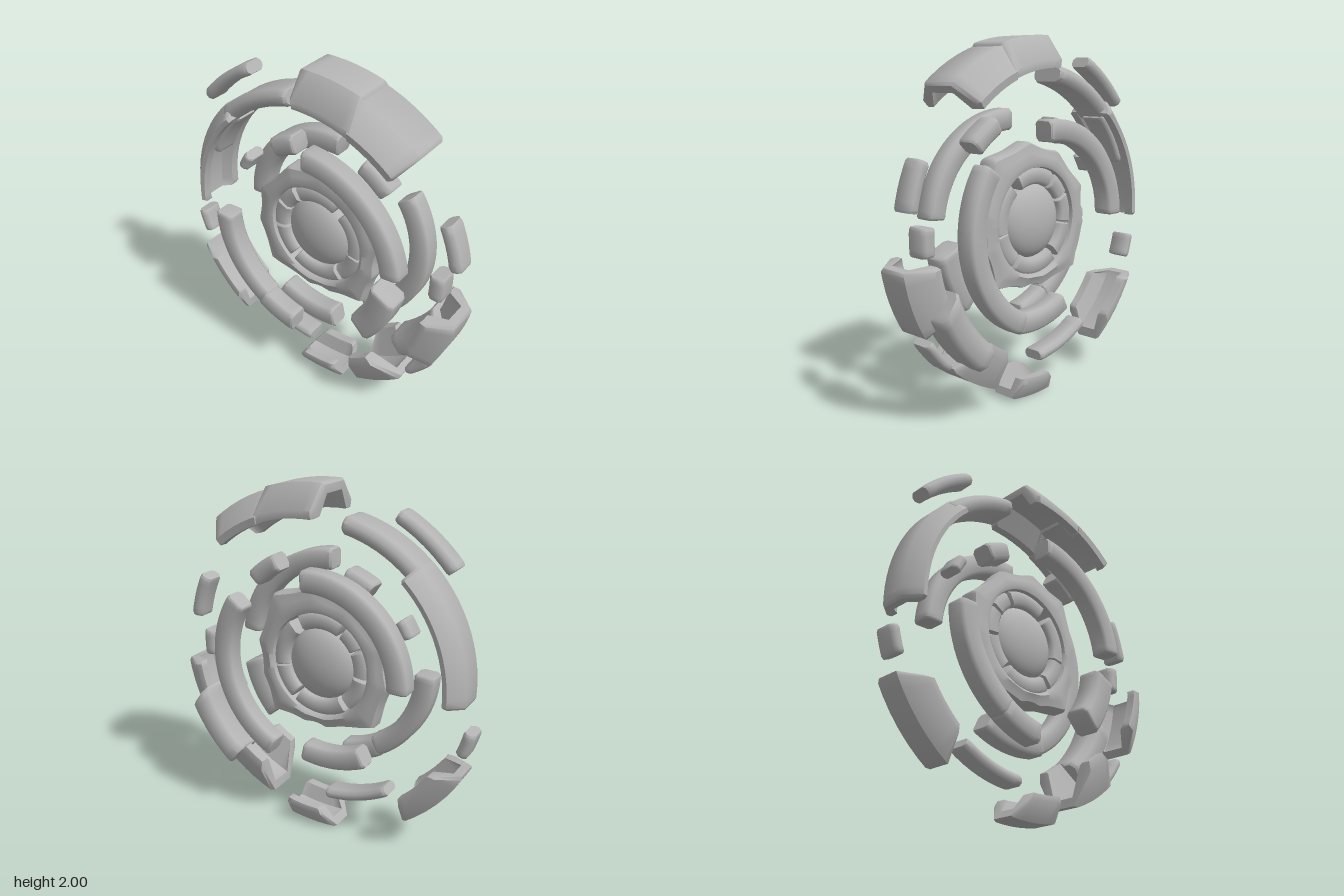
import * as THREE from 'three';
import { toCreasedNormals } from 'three/addons/utils/BufferGeometryUtils.js';

const RAD = Math.PI / 180;
const stone = new THREE.MeshStandardMaterial({ color: 0xb4b4b4 });
stone.name = 'grey stone';

// Sweep a closed [radius, z] section around the z axis from a0 to a1 degrees.
// cut0 / cut1 slant the ends: degrees added at the outer radius, removed at the inner one.
// drift widens the radius steadily along the sweep.
function sweep(sectionAt, a0, a1, { cut0 = 0, cut1 = 0, drift = 0, closed = false, step = 4, crease = 0.85 } = {}) {
  const n = Math.max(4, Math.ceil((a1 - a0) / step));
  const stations = [];
  for (let i = 0; i <= n; i++) stations.push([i / n, 1]);
  if (!closed) {
    // worn, slightly narrowed ends
    const b = Math.min(0.08, 1 / (a1 - a0));
    stations[0][0] = b;
    stations[n][0] = 1 - b;
    stations.unshift([0, 0.89]);
    stations.push([1, 0.89]);
  }
  const pos = [], idx = [];
  const first = sectionAt(a0), m = first.length;
  for (const [t, scale] of stations) {
    const base = a0 + (a1 - a0) * t;
    const s = sectionAt(base);
    const rs = s.map(p => p[0]);
    const lo = Math.min(...rs), hi = Math.max(...rs);
    const cr = (lo + hi) / 2, cz = s.reduce((k, p) => k + p[1], 0) / m;
    for (const [r, z] of s) {
      const w = (r - cr) / (hi - lo) * 2;
      const a = (base + w * (cut0 * (1 - t) + cut1 * t)) * RAD;
      const q = cr + (r - cr) * scale + drift * t;
      pos.push(q * Math.cos(a), q * Math.sin(a), cz + (z - cz) * scale);
    }
  }
  const last = stations.length - 1;
  for (let i = 0; i < last; i++) {
    for (let j = 0; j < m; j++) {
      const k = (j + 1) % m;
      const a = i * m + j, b = i * m + k, c = b + m, d = a + m;
      idx.push(a, d, c, a, c, b);
    }
  }
  if (!closed) {
    const tris = THREE.ShapeUtils.triangulateShape(first.map(p => new THREE.Vector2(...p)), []);
    for (const [a, b, c] of tris) idx.push(a, b, c, last * m + a, last * m + c, last * m + b);
  }
  const g = new THREE.BufferGeometry();
  g.setAttribute('position', new THREE.Float32BufferAttribute(pos, 3));
  g.setIndex(idx);
  return toCreasedNormals(g, crease);
}

// Mirror half a section (outer edge to inner edge, z > 0) about depth zc
const mirrored = (half, zc = 0) => [
  ...half.map(([r, z]) => [r, zc + z]),
  ...half.map(([r, z]) => [r, zc - z]).reverse()];

// Chamfered solid bar: inner radius, width, half depth, centre depth
function bar(r0, width, h, zc = 0) {
  const c = Math.min(width, h) * 0.3, r1 = r0 + width;
  return () => mirrored([[r1, h - c], [r1 - c, h], [r0 + c, h], [r0, h - c]], zc);
}

// Hollow arched armour, open toward the centre
function shell(r0, width, h, zc = 0) {
  const t = 0.05, r1 = r0 + width;
  return () => mirrored([[r1, h * 0.5], [r0 + width * 0.25, h], [r0, h * 0.97],
    [r0, h * 0.97 - t], [r1 - t, h * 0.4]], zc);
}

// Scalloped rosette: hollows between cusps, given as angle and radius
const cusps = [[11, 0.415], [50, 0.475], [84, 0.445], [117, 0.42], [157, 0.43], [188, 0.42],
  [223, 0.455], [263, 0.375], [285, 0.375], [313, 0.455], [342, 0.4], [371, 0.415]];
function rosetteSection(angle) {
  const i = Math.max(0, cusps.findIndex(c => c[0] >= angle) - 1);
  const [a, ra] = cusps[i], [b, rb] = cusps[i + 1];
  const u = (angle - a) / (b - a);
  const R = ra + (rb - ra) * u - 0.035 * Math.sin(Math.PI * u) * Math.min(1, (b - a) / 40);
  const at = k => 0.29 + (R - 0.29) * k;
  return mirrored([[R, 0.035], [at(0.92), 0.06], [at(0.6), 0.068], [at(0.3), 0.08], [0.3, 0.07], [0.29, 0.03]]);
}

export function createModel() {
  const model = new THREE.Group();
  const disc = new THREE.Group();
  disc.name = 'shatteredDisc';
  disc.position.y = 1;
  model.add(disc);
  const add = (name, geometry) => {
    const mesh = new THREE.Mesh(geometry, stone);
    mesh.name = name;
    disc.add(mesh);
    return mesh;
  };

  // Central lens
  add('hub', new THREE.SphereGeometry(0.21, 40, 24)).scale.z = 0.47;

  // Petals around the hub: start and end angle
  for (const [a, b] of [[61, 119], [124, 151], [154, 187], [190, 230], [236, 304], [309, 349], [350, 409]]) {
    add('petal', sweep(bar(0.205, 0.095, 0.062), a, b));
  }

  // Scalloped ring
  add('rosette', sweep(rosetteSection, 11, 371, { closed: true, step: 2 }));

  // Inner ring, split into layers: inner radius, centre depth, angles, radius drift
  for (const [name, r0, zc, a, b, drift] of [
    ['UpperLeft', 0.443, -0.145, 86, 181, 0.03],
    ['UpperRight', 0.511, 0.155, 6, 88, -0.015],
    ['LowerLeft', 0.495, 0.155, 181, 242, 0.015],
    ['LowerLeftTip', 0.515, 0.16, 240, 264, 0.012],
    ['Bottom', 0.52, 0, 243, 282, 0],
    ['Right', 0.5, -0.148, -65, 36, 0],
  ]) add('innerRing' + name, sweep(bar(r0, 0.118, 0.06, zc), a, b, { drift }));
  add('innerRingLowerRight', sweep(bar(0.465, 0.16, 0.075, 0.115), -47, -11, { cut1: -2, drift: -0.02 }));

  // Middle ring
  add('middleRingUpper', sweep(bar(0.765, 0.092, 0.105), 101, 136));
  add('middleRingLeft', sweep(shell(0.765, 0.1, 0.15, -0.01), 132, 184));
  add('middleRingInset', sweep(bar(0.752, 0.05, 0.075, -0.015), 134, 159));

  // Loose chips centred in depth: inner radius, width, angles
  for (const [name, r0, width, a, b] of [
    ['innerChipTop', 0.48, 0.108, 106, 123],
    ['innerChipLeft', 0.545, 0.06, 145, 155],
    ['innerChipRight', 0.555, 0.1, 45, 63],
    ['middleChipRight', 0.715, 0.085, -6, 5],
    ['middleChipBottom', 0.765, 0.06, 238, 267],
    ['outerChipUpperLeft', 0.935, 0.068, 117, 140],
    ['outerChipRight', 0.826, 0.073, 10, 27],
    ['outerChipLowerRight', 0.902, 0.048, -47, -34],
    ['outerChipLeft', 0.875, 0.065, 193, 202],
  ]) add(name, sweep(bar(r0, width, 0.066), a, b));

  // Outer armour plates with broken ends
  const armour = (name, section, a, b, cut0, cut1) =>
    add('outerArmour' + name, sweep(section, a, b, { cut0, cut1 }));
  armour('Top', shell(0.83, 0.17, 0.21), 69.5, 93.5, 2.5, 0);
  armour('UpperRight', shell(0.825, 0.16, 0.215), 49.5, 72, 0, 2);
  armour('Right', shell(0.77, 0.16, 0.18, 0.03), -30, -8, -2, 0);
  armour('LowerRight', bar(0.733, 0.147, 0.098, -0.118), -52, -22, 0, -3);
  armour('BottomRight', shell(0.72, 0.215, 0.185, 0.015), -67, -49.5, -3.5, 2);
  armour('Bottom', shell(0.865, 0.133, 0.135), 265, 281.7, -2, 0);
  armour('LowerLeft', shell(0.835, 0.145, 0.148), 209.5, 233.5, -2.5, 3);

  return model;
}
